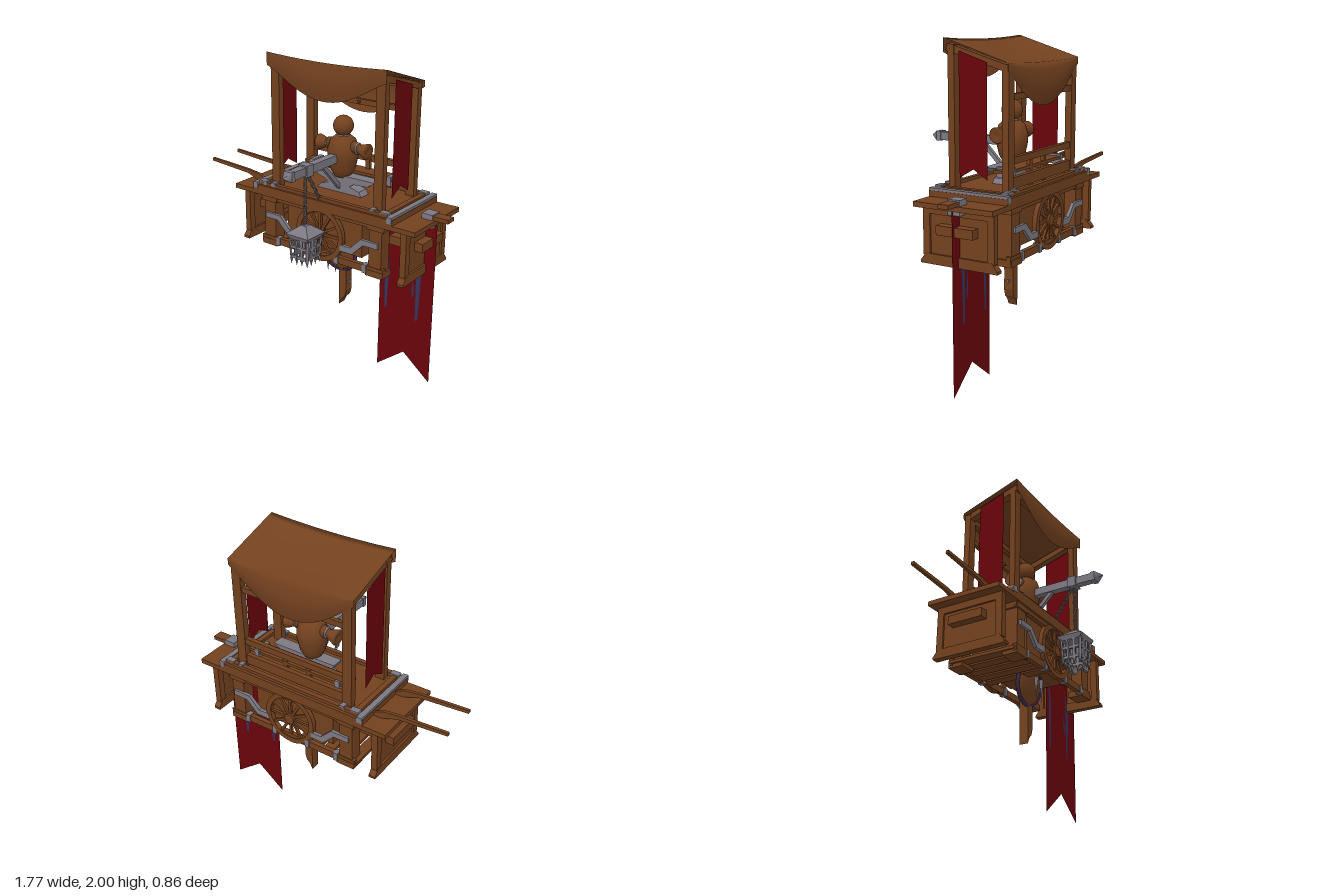
import * as THREE from 'three';
import { ParametricGeometry } from 'three/addons/geometries/ParametricGeometry.js';

const mat = (name, color) => new THREE.MeshStandardMaterial({ name, color, side: THREE.DoubleSide });
const wood = mat('brown wood', 0x73411f);
const iron = mat('grey iron', 0x7d7982);
const red = mat('red cloth', 0x680409);
const blue = mat('blue stain', 0x34345f);
const purple = mat('purple rim', 0x3c2a4c);

const CX = 0.1175; // centre line of the cart body
const V = (x, y, z) => new THREE.Vector3(x, y, z);

export function createModel() {
  const root = new THREE.Group();
  root.name = 'marketCart';

  const add = (name, geo, m, x = 0, y = 0, z = 0, parent = root) => {
    const mesh = new THREE.Mesh(geo, m);
    mesh.name = name;
    mesh.position.set(x, y, z);
    parent.add(mesh);
    return mesh;
  };
  // box from minimum and maximum corners
  const box = (name, m, x0, x1, y0, y1, z0, z1, parent = root) =>
    add(name, new THREE.BoxGeometry(x1 - x0, y1 - y0, z1 - z0), m, (x0 + x1) / 2, (y0 + y1) / 2, (z0 + z1) / 2, parent);
  // box pair mirrored about the cart's centre line, given as offsets from it
  const pair = (name, m, x0, x1, ...r) => {
    box(name, m, CX + x0, CX + x1, ...r);
    box(name, m, CX - x1, CX - x0, ...r);
  };
  const shape = pts => new THREE.Shape(pts.map(p => new THREE.Vector2(p[0], p[1])));
  const plate = (pts, depth) => new THREE.ExtrudeGeometry(shape(pts), { depth, bevelEnabled: false });
  // rectangular bar between two points of its parent
  const bar = (name, m, a, b, w, h = w, parent = root) => {
    const mesh = add(name, new THREE.BoxGeometry(w, h, a.distanceTo(b)), m, 0, 0, 0, parent);
    mesh.position.copy(a).lerp(b, 0.5);
    mesh.quaternion.setFromRotationMatrix(new THREE.Matrix4().lookAt(b, a, V(0, 1, 0)));
    return mesh;
  };

  // Deck: low wide board, raised centre and edge rails
  box('lowerDeck', wood, -0.565, 0.8, 1.085, 1.115, -0.428, 0.085);
  box('upperDeck', wood, -0.41, 0.645, 1.1, 1.15, -0.428, 0.085);
  for (const z of [-0.41, 0.04]) box('deckRail', wood, -0.37, 0.605, 1.15, 1.17, z, z + 0.03);
  pair('deckEndRail', wood, 0.445, 0.48, 1.15, 1.17, -0.41, 0.07);
  pair('deckStrap', iron, 0.49, 0.525, 1.125, 1.165, -0.43, 0.088);
  for (const z of [-0.41, 0.03]) {
    pair('deckCorner', iron, 0.43, 0.488, 1.15, 1.177, z, z + 0.04);
    pair('deckClip', iron, 0.36, 0.39, 1.15, 1.18, z, z + 0.04);
  }

  // Cart body, open between the core and the end legs
  box('bodyCore', wood, -0.17, 0.405, 0.83, 1.09, -0.37, 0.03);
  for (const z of [-0.415, 0.04]) {
    box('sideBeam', wood, -0.35, 0.585, 0.765, 0.81, z, z + 0.03);
    box('upperBeam', wood, -0.35, 0.585, 1.06, 1.085, z, z + 0.03);
    for (const o of [0.125, 0.335]) pair('beamStud', iron, o - 0.015, o + 0.015, 0.76, 0.815, z - 0.006, z + 0.036);
  }
  for (let i = 0; i < 5; i++) {
    const x = -0.36 + i * 0.09;
    box('floorSlat', wood, x, x + 0.07, 0.775, 0.795, -0.4, 0.06);
  }
  const foot = [[-0.42, 0.75], [0.085, 0.75], [0.085, 0.765], [0.05, 0.81], [-0.385, 0.81], [-0.42, 0.765]];
  for (const s of [-1, 1]) {
    // legs of the cabinet, with flared feet
    const lx = CX + s * 0.405;
    for (const z of [-0.41, -0.02]) {
      box('leg', wood, lx - 0.045, lx + 0.045, 0.75, 1.09, z, z + 0.085);
      box('legFoot', wood, lx - 0.06, lx + 0.06, 0.75, 0.79, z - 0.008, z + 0.093);
      box('legCap', wood, lx - 0.06, lx + 0.06, 1.05, 1.085, z - 0.008, z + 0.093);
    }
    // framed end panel
    const px = CX + s * 0.5975;
    box('endPanel', wood, px - 0.008, px + 0.008, 0.8, 1.09, -0.385, 0.05);
    const f = add('endFoot', plate(foot.map(p => [-p[0], p[1]]), 0.044), wood, px - 0.022, 0, 0);
    f.rotation.y = Math.PI / 2;
    for (const z of [-0.4, 0.02]) box('endStile', wood, px - 0.02, px + 0.02, 0.8, 1.09, z, z + 0.045);
    box('endTopRail', wood, px - 0.02, px + 0.02, 1.04, 1.09, -0.4, 0.065);
    const a = CX + s * 0.43, b = CX + s * 0.66;
    box('stretcher', wood, Math.min(a, b), Math.max(a, b), 0.935, 0.99, -0.29, -0.05);
    // bent iron brackets front and back
    const br = [[0.43, 0.975], [0.31, 0.975], [0.235, 0.9], [0.16, 0.9], [0.16, 0.86], [0.25, 0.86], [0.33, 0.94], [0.43, 0.94]];
    for (const z of [-0.425, 0.06]) add('ironBracket', plate(br.map(p => [s * p[0], p[1]]), 0.022), iron, CX, 0, z);
  }

  // Spoked wheels on both long sides
  const rim = new THREE.Shape().absarc(0, 0, 0.178, 0, Math.PI * 2);
  rim.holes.push(new THREE.Path().absarc(0, 0, 0.145, 0, Math.PI * 2, true));
  const rimGeo = new THREE.ExtrudeGeometry(rim, { depth: 0.03, bevelEnabled: false, curveSegments: 24 });
  for (const z of [0.065, -0.406]) {
    const wheel = new THREE.Group();
    wheel.name = 'wheel';
    wheel.position.set(CX, 0.93, z);
    root.add(wheel);
    add('wheelRim', rimGeo, wood, 0, 0, -0.015, wheel);
    for (let i = 0; i < 12; i++) {
      const t = i * Math.PI / 6;
      bar('spoke', wood, V(0, 0, 0), V(Math.cos(t) * 0.15, Math.sin(t) * 0.15, 0), 0.016, 0.016, wheel);
    }
    const hub = add('wheelHub', new THREE.CylinderGeometry(0.035, 0.035, 0.042, 16), wood, 0, 0, 0, wheel);
    hub.rotation.x = Math.PI / 2;
  }

  // Pull handles, thick and bent at the cart end
  const handle = [[-0.89, 1.175], [-0.57, 1.152], [-0.46, 1.115], [-0.4, 1.085], [-0.33, 1.05], [-0.33, 1.085],
    [-0.4, 1.13], [-0.47, 1.165], [-0.57, 1.178], [-0.89, 1.195]];
  for (const z of [-0.308, -0.062]) add('pullHandle', plate(handle, 0.02), wood, 0, 0, z);

  // Canopy posts and beams
  pair('frontPost', wood, 0.355, 0.417, 1.15, 1.96, -0.02, 0.022);
  pair('rearPost', wood, 0.355, 0.417, 1.15, 1.86, -0.372, -0.33);
  for (const s of [-1, 1])
    bar('roofSideRail', wood, V(CX + s * 0.39, 1.95, 0.03), V(CX + s * 0.39, 1.835, -0.37), 0.05, 0.04);
  box('frontRoofBeam', wood, -0.3, 0.535, 1.9, 1.94, -0.015, 0.02);
  box('rearRoofBeam', wood, -0.3, 0.535, 1.815, 1.855, -0.37, -0.335);
  box('pegRail', wood, -0.29, 0.525, 1.665, 1.7, -0.362, -0.337);
  for (let i = 0; i < 5; i++) box('railPeg', wood, -0.19 + i * 0.148, -0.175 + i * 0.148, 1.675, 1.69, -0.337, -0.318);
  box('backRail', wood, -0.29, 0.525, 1.31, 1.35, -0.365, -0.335);
  box('backBoard', wood, -0.29, 0.525, 1.17, 1.235, -0.365, -0.335);
  box('backShelf', wood, -0.24, 0.475, 1.25, 1.268, -0.335, -0.235);
  pair('shelfPlate', iron, 0.28, 0.31, 1.22, 1.28, -0.34, -0.23);
  pair('shelfUpright', wood, 0.07, 0.1, 1.15, 1.33, -0.333, -0.31);

  // Sagging canopy cloth: front flap, sloping top and rear flap
  const cloth = (u, v, out) => {
    const x = -0.315 + 0.865 * u, sag = 1 - (2 * u - 1) ** 2;
    const top = 2.0 - 0.015 * sag, back = 1.87 - 0.01 * sag;
    if (v < 0.25) {
      const t = 1 - v / 0.25;
      out.set(x, top - t * (0.08 + 0.15 * sag ** 1.4), 0.04 + 0.015 * Math.sin(t * Math.PI) * sag);
    } else if (v <= 0.75) {
      const t = (v - 0.25) / 0.5;
      out.set(x, top + (back - top) * t - 0.02 * Math.sin(t * Math.PI) * sag, 0.04 - 0.415 * t);
    } else {
      const t = (v - 0.75) / 0.25;
      out.set(x, back - t * (0.04 + 0.21 * sag ** 1.2), -0.375 - 0.02 * Math.sin(t * Math.PI) * sag);
    }
  };
  add('canopyCloth', new ParametricGeometry(cloth, 24, 24), wood);

  // Swallow-tailed banners
  const banner = (x0, x1, yl, yr, yb, notch) =>
    new THREE.ShapeGeometry(shape([[x0, yl], [x0, yb], [(x0 + x1) / 2, notch], [x1, yb], [x1, yr]]));
  add('longBanner', banner(0.412, 0.8, 1.085, 1.085, 0, 0.155), red, 0, 0, -0.172);
  for (const [x, w, y0, y1] of [[0.445, 0.035, 0.42, 0.9], [0.67, 0.04, 0.4, 0.9], [0.645, 0.018, 0.55, 0.75]])
    for (const z of [-0.1735, -0.1705])
      add('bannerStain', new THREE.ShapeGeometry(shape([[x, y1], [x + w * 0.25, y0], [x + w * 0.7, y0 + 0.02], [x + w, y1 - 0.15]])), blue, 0, 0, z);
  for (const x of [-0.312, 0.547]) {
    const side = add('sideBanner', banner(0.06, 0.243, 1.93, 1.87, 1.22, 1.275), red, x, 0, 0);
    side.rotation.y = Math.PI / 2;
  }
  box('bannerArm', wood, 0.72, 0.885, 1.115, 1.14, -0.208, -0.14);
  box('bannerClamp', iron, 0.712, 0.785, 1.06, 1.148, -0.214, -0.134);

  // Anvil under the dummy
  const anvil = [[-0.05, 1.15], [0.29, 1.15], [0.27, 1.18], [0.2, 1.2], [0.23, 1.22], [0.33, 1.225], [0.39, 1.262],
    [-0.06, 1.262], [-0.05, 1.235], [0.01, 1.22], [0.04, 1.2], [-0.02, 1.18]];
  add('anvil', plate(anvil, 0.08), iron, 0, 0, -0.2);

  // Practice dummy
  const lathe = pts => new THREE.LatheGeometry(pts.map(p => new THREE.Vector2(p[0], p[1])), 24);
  const DX = CX + 0.005, DZ = -0.157;
  add('dummyTorso', lathe([[0, 1.24], [0.05, 1.25], [0.078, 1.3], [0.096, 1.38], [0.097, 1.43], [0.08, 1.485], [0.05, 1.51], [0, 1.515]]), wood, DX, 0, DZ);
  add('dummyNeck', new THREE.CylinderGeometry(0.032, 0.045, 0.03, 16), iron, DX, 1.512, DZ);
  add('dummyHead', new THREE.SphereGeometry(0.064, 24, 16), wood, DX, 1.572, DZ);
  for (const s of [-1, 1]) {
    const arm = add('dummyArm', lathe([[0, 0], [0.04, 0], [0.036, 0.04], [0.026, 0.06], [0.05, 0.12], [0.042, 0.133], [0, 0.12]]), wood, DX + s * 0.06, 1.45, DZ);
    arm.rotation.z = -s * 1.68;
    const cuff = add('armCuff', new THREE.TorusGeometry(0.03, 0.007, 6, 16), iron, DX + s * 0.11, 1.445, DZ);
    cuff.rotation.y = Math.PI / 2;
  }

  // Lantern arm with pointed tip, collar and brace
  box('lanternArm', iron, CX - 0.025, CX + 0.025, 1.357, 1.408, -0.12, 0.35);
  box('armCollar', iron, CX - 0.034, CX + 0.034, 1.347, 1.418, 0.18, 0.24);
  box('armTipCollar', iron, CX - 0.03, CX + 0.03, 1.352, 1.413, 0.345, 0.375);
  const tip = add('armTip', new THREE.ConeGeometry(0.042, 0.05, 4).rotateY(Math.PI / 4), iron, CX, 1.383, 0.4);
  tip.rotation.x = Math.PI / 2;
  bar('armBrace', iron, V(CX, 1.365, 0.05), V(CX, 1.18, -0.13), 0.025);

  // Chains of alternating links
  const chain = (a, b, n) => {
    const g = new THREE.Group();
    g.name = 'chain';
    g.position.copy(a);
    g.quaternion.setFromUnitVectors(V(0, 1, 0), b.clone().sub(a).normalize());
    root.add(g);
    const step = a.distanceTo(b) / n;
    for (let i = 0; i < n; i++) {
      const link = add('chainLink', new THREE.TorusGeometry(0.012, 0.004, 5, 10), iron, 0, (i + 0.5) * step, 0, g);
      link.scale.y = 1.6;
      link.rotation.y = (i % 2) * Math.PI / 2;
    }
  };
  chain(V(CX, 1.36, 0.215), V(CX, 1.03, 0.215), 10);
  chain(V(CX, 1.36, 0.2), V(CX, 1.155, 0.07), 8);

  // Hanging cage lantern
  const cage = new THREE.Group();
  cage.name = 'cageLantern';
  cage.position.set(CX, 0, 0.215);
  root.add(cage);
  const taper = (name, r0, r1, y0, y1) => add(name, new THREE.CylinderGeometry(r1 * Math.SQRT2, r0 * Math.SQRT2, y1 - y0, 4).rotateY(Math.PI / 4).toNonIndexed(), iron, 0, (y0 + y1) / 2, 0, cage).geometry.computeVertexNormals();
  taper('cageRoof', 0.085, 0.02, 0.985, 1.035);
  taper('cageEave', 0.072, 0.085, 0.955, 0.985);
  for (let k = 0; k < 4; k++) {
    const side = new THREE.Group();
    side.name = 'cageSide';
    side.rotation.y = k * Math.PI / 2;
    cage.add(side);
    for (const x of [-1, -0.33, 0.33, 1]) {
      bar('cageBar', iron, V(x * 0.068, 0.97, 0.068), V(x * 0.06, 0.82, 0.06), 0.017, 0.012, side);
      const spike = add('cageSpike', new THREE.ConeGeometry(0.012, 0.04, 4), iron, x * 0.06, 0.805, 0.06, side);
      spike.rotation.x = Math.PI;
    }
    for (const [y, r] of [[0.895, 0.064], [0.83, 0.061]]) box('cageBand', iron, -r, r, y, y + 0.018, r - 0.006, r + 0.006, side);
  }

  // Round shield, blades and curved plank slung beneath
  const shield = new THREE.Group();
  shield.name = 'shield';
  shield.position.set(CX, 0.745, -0.125);
  shield.rotation.x = 0.15;
  root.add(shield);
  add('shieldFace', new THREE.SphereGeometry(0.133, 24, 12), wood, 0, 0, 0, shield).scale.z = 0.18;
  add('shieldRim', new THREE.TorusGeometry(0.134, 0.012, 6, 32), purple, 0, 0, 0, shield);
  for (const x of [0.09, 0.15]) {
    const blade = add('hangingBlade', new THREE.ConeGeometry(0.016, 0.15, 6), iron, x, 0.695, -0.055);
    blade.rotation.x = Math.PI;
  }
  const plank = [[0.12, 0.8], [0.122, 0.36], [0.14, 0.4], [0.165, 0.425], [0.178, 0.47], [0.175, 0.56], [0.182, 0.8]];
  add('hangingPlank', plate(plank, 0.062), wood, 0, 0, -0.197);
  box('plankStud', iron, 0.176, 0.19, 0.52, 0.535, -0.175, -0.16);
  return root;
}
